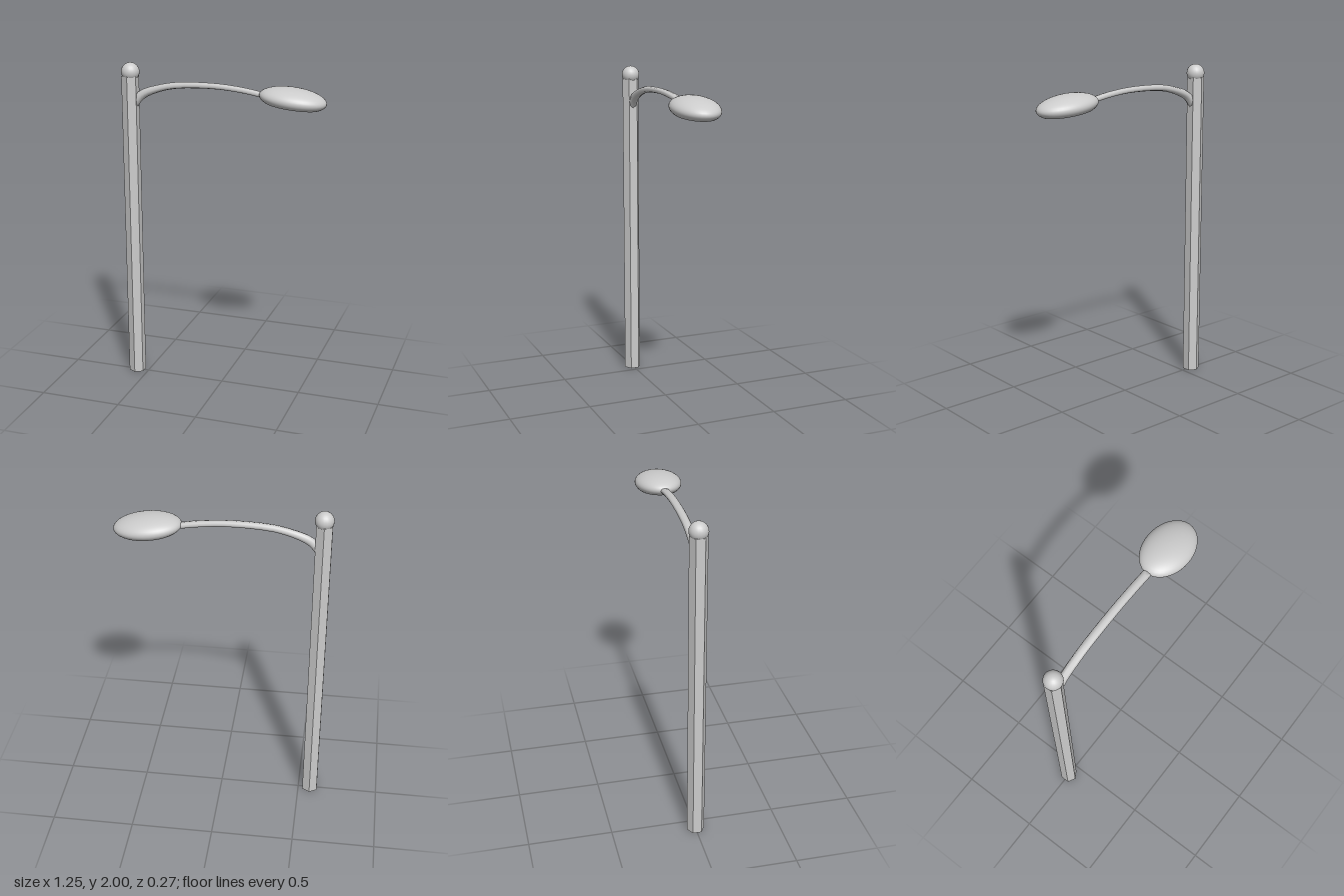
import * as THREE from 'three';

const grey = () => new THREE.MeshStandardMaterial({ color: 0xcccccc });

function add(group, name, geometry, material = grey()) {
  const mesh = new THREE.Mesh(geometry, material);
  mesh.name = name;
  group.add(mesh);
  return mesh;
}

// Tapering arm: octagonal sections lofted between a lower and an upper edge curve
function armGeometry() {
  const curve = (pts) => new THREE.CatmullRomCurve3(pts.map(([x, y]) => new THREE.Vector3(x, y, 0)));
  const lower = curve([[-0.535, 1.73], [-0.49, 1.785], [-0.415, 1.825], [-0.29, 1.86], [-0.05, 1.874], [0.12, 1.862], [0.25, 1.842]]);
  const upper = curve([[-0.535, 1.82], [-0.49, 1.847], [-0.415, 1.872], [-0.29, 1.899], [-0.05, 1.909], [0.12, 1.897], [0.25, 1.876]]);
  const rings = 20, sides = 8, pos = [], idx = [];
  for (let i = 0; i <= rings; i++) {
    const a = lower.getPoint(i / rings), b = upper.getPoint(i / rings);
    const mid = a.clone().add(b).multiplyScalar(0.5);
    const half = b.clone().sub(a).multiplyScalar(0.5);
    for (let j = 0; j < sides; j++) {
      const t = (j / sides) * Math.PI * 2;
      const p = mid.clone().addScaledVector(half, Math.cos(t));
      pos.push(p.x, p.y, 0.026 * Math.sin(t));
    }
  }
  for (let i = 0; i < rings; i++) {
    for (let j = 0; j < sides; j++) {
      const a = i * sides + j, b = i * sides + ((j + 1) % sides);
      idx.push(a, a + sides, b, b, a + sides, b + sides);
    }
  }
  // end caps
  for (let j = 1; j < sides - 1; j++) {
    const e = rings * sides;
    idx.push(0, j, j + 1, e, e + j + 1, e + j);
  }
  const g = new THREE.BufferGeometry();
  g.setAttribute('position', new THREE.Float32BufferAttribute(pos, 3));
  g.setIndex(idx);
  g.computeVertexNormals();
  return g;
}

export function createModel() {
  const model = new THREE.Group();
  model.name = 'streetLamp';

  // Hexagonal pole with a ball on top
  const poleMat = grey();
  poleMat.flatShading = true;
  add(model, 'pole', new THREE.CylinderGeometry(0.053, 0.053, 1.92, 6), poleMat).position.set(-0.574, 0.96, 0);
  add(model, 'finial', new THREE.SphereGeometry(0.055, 20, 14)).position.set(-0.572, 1.945, 0);

  const armMat = grey();
  armMat.side = THREE.DoubleSide;
  add(model, 'arm', armGeometry(), armMat);

  // Tilted oval lamp head: ellipsoid shell cut off below, with an inset lens
  const head = new THREE.Group();
  head.name = 'lampHead';
  head.position.set(0.426, 1.846, 0);
  head.rotation.z = -0.105;
  model.add(head);

  const height = 0.066, cut = -0.59;
  const profile = [];
  for (let i = 0; i <= 16; i++) {
    const t = cut + (i / 16) * (Math.PI / 2 - cut);
    profile.push(new THREE.Vector2(i === 16 ? 0 : Math.cos(t), height * Math.sin(t)));
  }
  const rim = profile[0];
  const oval = (points) => new THREE.LatheGeometry(points, 40).scale(0.198, 1, 0.137);
  const shellMat = grey();
  shellMat.side = THREE.DoubleSide;
  add(head, 'shell', oval(profile), shellMat);

  // Recessed wall and lens, in flat facets so the rim stays crisp
  const lensMat = grey();
  lensMat.side = THREE.DoubleSide;
  lensMat.flatShading = true;
  const lens = [[0, rim.y + 0.005], [rim.x - 0.03, rim.y + 0.005], [rim.x - 0.02, rim.y], [rim.x, rim.y]];
  add(head, 'lens', oval(lens.map(([r, y]) => new THREE.Vector2(r, y))), lensMat);

  return model;
}
